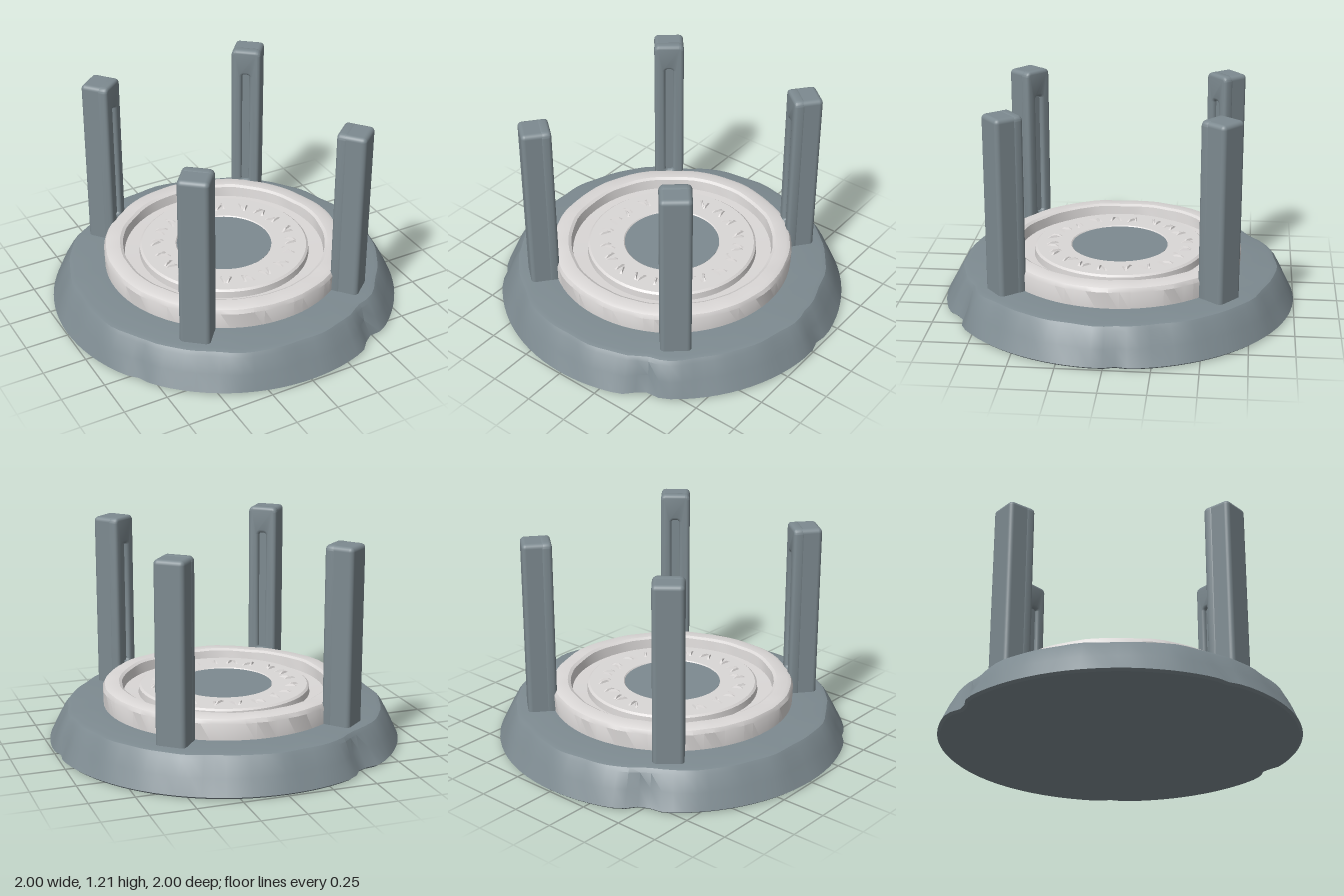
import * as THREE from 'three';
import { toCreasedNormals } from 'three/addons/utils/BufferGeometryUtils.js';
import { RoundedBoxGeometry } from 'three/addons/geometries/RoundedBoxGeometry.js';

const slate = new THREE.MeshStandardMaterial({ color: 0x7d8a90 });
slate.name = 'slate grey stone';
const pale = new THREE.MeshStandardMaterial({ color: 0xdad7d6 });
pale.name = 'pale stone';

function mesh(name, geometry, material) {
  const m = new THREE.Mesh(geometry, material);
  m.name = name;
  return m;
}

// Turned stone: a lathe whose radius and height are worn unevenly around the axis
function turned(profile, segments, wear) {
  const geo = new THREE.LatheGeometry(profile.map(([r, y]) => new THREE.Vector2(r, y)), segments);
  const p = geo.attributes.position;
  for (let i = 0; i < p.count; i++) {
    const x = p.getX(i), y = p.getY(i), z = p.getZ(i);
    const r = Math.hypot(x, z);
    if (r < 0.01) continue;
    const [dr, dy] = wear(Math.atan2(z, x), r, y);
    const k = (r + dr) / r;
    p.setXYZ(i, x * k, y + dy, z * k);
  }
  return toCreasedNormals(geo, 0.5);
}

const ripple = (a) => Math.sin(a * 7 + 1) * 0.4 + Math.sin(a * 13 + 2) * 0.35 + Math.sin(a * 23) * 0.25;

// Chips in the rim of the plinth: angle, depth, width
const chips = [[1.07, 0.045, 0.07], [-2.12, 0.05, 0.08], [-0.07, 0.02, 0.05], [2.55, 0.015, 0.05]];
function plinthWear(a, r, y) {
  if (r < 0.8) return [0, 0];
  let d = y > 0.1 ? ripple(a) * 0.012 : 0;
  for (const [angle, depth, width] of chips) {
    const t = Math.atan2(Math.sin(a - angle), Math.cos(a - angle)) / width;
    d -= depth * Math.exp(-t * t) * (y < 0.12 ? 1 : 0.4);
  }
  return [d, 0];
}

// Rectangle path with rounded corners, centred on (x, y)
function roundedRect(path, w, h, r, x = 0, y = 0) {
  const corners = [[1, -1, -0.5], [1, 1, 0], [-1, 1, 0.5], [-1, -1, 1]];
  for (const [sx, sy, start] of corners) {
    path.absarc(x + sx * (w / 2 - r), y + sy * (h / 2 - r), r, start * Math.PI, (start + 0.5) * Math.PI, false);
  }
  path.closePath();
  return path;
}

// Square post with a long recessed slot on the face turned to the centre
function makePost(name, x, z) {
  const post = new THREE.Group();
  post.name = name;
  const w = 0.17, h = 1.03;
  const body = mesh('postBody', new RoundedBoxGeometry(w, h, 0.14, 3, 0.025), slate);
  body.position.z = -0.012;
  const face = roundedRect(new THREE.Shape(), w + 0.003, h + 0.003, 0.03);
  face.holes.push(roundedRect(new THREE.Path(), 0.045, 0.72, 0.015, 0, 0.0));
  const frameGeo = new THREE.ExtrudeGeometry(face, {
    depth: 0.03, bevelEnabled: true, bevelThickness: 0.018, bevelSize: 0.018,
    bevelOffset: -0.018, bevelSegments: 3, curveSegments: 4,
  });
  const frame = mesh('slottedFace', toCreasedNormals(frameGeo, 0.6), slate);
  frame.position.z = 0.034;
  post.add(body, frame);
  post.position.set(x, 1.213 - h / 2, z);
  post.rotation.y = Math.atan2(-x, -z);
  return post;
}

// Abstract chisel marks around the inner ring
function makeChiselMarks() {
  const marks = new THREE.Group();
  marks.name = 'chiselMarks';
  const count = 20;
  const patterns = [
    [[-0.018, 0, 0.35], [0.018, 0, -0.35]],
    [[-0.02, 0, 0], [0.012, 0.01, 0.6]],
    [[0, 0, 0.2], [0.022, -0.02, -0.5]],
  ];
  const stroke = new THREE.CylinderGeometry(0.004, 0.011, 0.014, 4, 1);
  stroke.rotateY(Math.PI / 4);
  stroke.scale(1, 1, 5);
  const strokeGeo = stroke.toNonIndexed();
  strokeGeo.computeVertexNormals();
  for (let i = 0; i < count; i++) {
    const sector = new THREE.Group();
    sector.name = 'mark';
    sector.rotation.y = ((i + 0.5) / count) * Math.PI * 2;
    for (const [dx, dr, turn] of patterns[(i * 7) % 3]) {
      const s = mesh('chiselStroke', strokeGeo, pale);
      s.position.set(dx, 0.324, 0.385 + dr);
      s.rotation.y = turn;
      sector.add(s);
    }
    marks.add(sector);
  }
  return marks;
}

export function createModel() {
  const model = new THREE.Group();
  model.name = 'stonePlatform';

  // Wide sloping plinth
  model.add(mesh('plinth', turned([
    [0, 0.008], [0.985, 0.008], [1, 0.02], [0.955, 0.11], [0.912, 0.19], [0.895, 0.21], [0.87, 0.217], [0.6, 0.217], [0, 0.217],
  ], 96, plinthWear), slate));

  // Pale ring: rounded outer band, groove, then raised inner band
  model.add(mesh('ring', turned([
    [0.69, 0.2], [0.693, 0.31], [0.682, 0.332], [0.66, 0.342], [0.6, 0.342], [0.583, 0.332], [0.575, 0.275],
    [0.49, 0.272], [0.487, 0.31], [0.475, 0.32], [0.28, 0.32], [0.272, 0.312], [0.272, 0.22],
  ], 72, (a, r, y) => (y > 0.3 && r > 0.5 ? [ripple(a) * 0.004, ripple(a + 1) * 0.003] : [0, 0])), pale));
  model.add(makeChiselMarks());

  // Grey disc in the middle
  const disc = mesh('centreDisc', new THREE.CylinderGeometry(0.274, 0.274, 0.11, 64), slate);
  disc.position.y = 0.26;
  model.add(disc);

  // Four posts
  for (const sx of [-1, 1]) {
    for (const sz of [-1, 1]) {
      model.add(makePost((sz > 0 ? 'front' : 'back') + (sx > 0 ? 'Left' : 'Right') + 'Post', sx * 0.479, sz * 0.582));
    }
  }
  return model;
}
